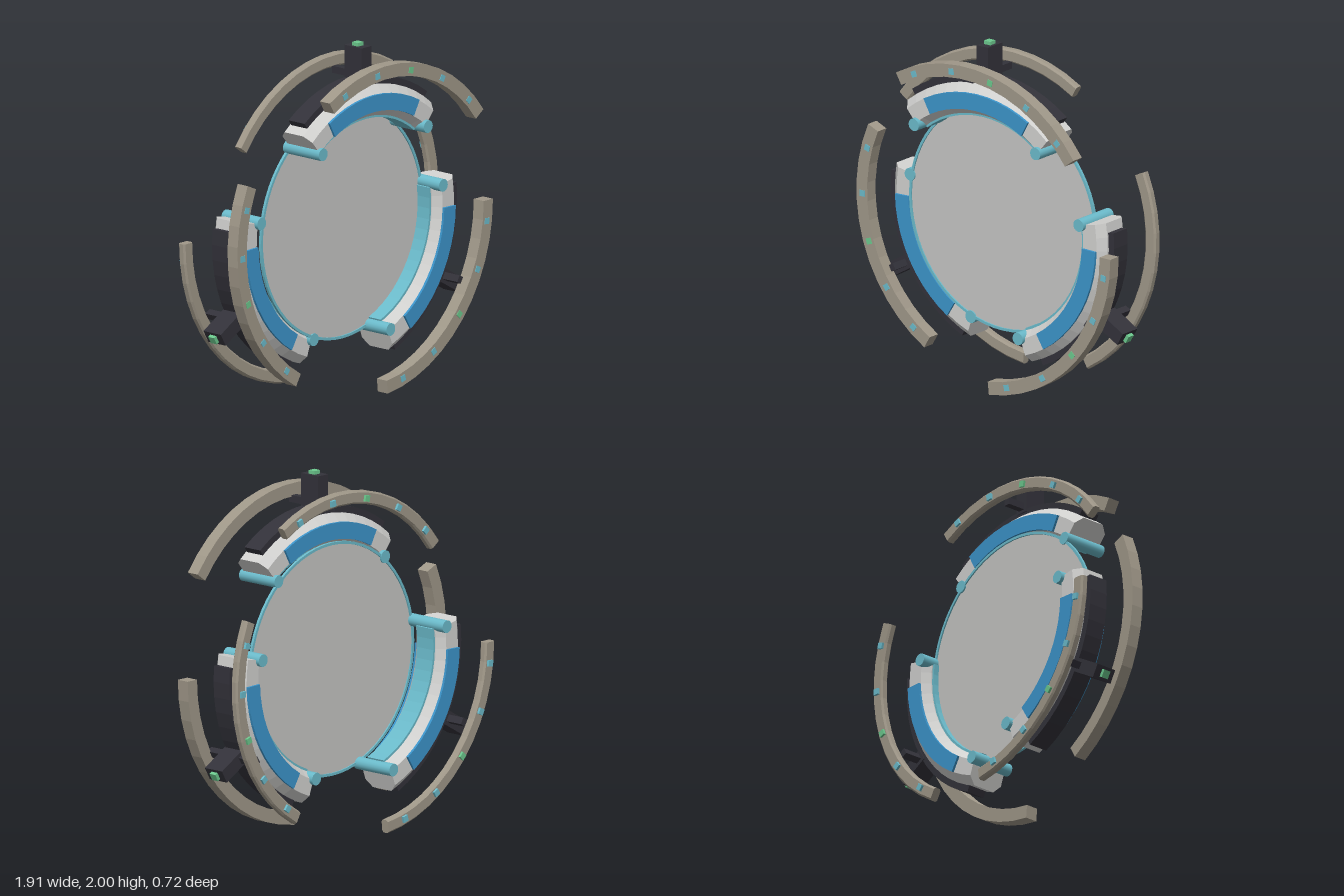
import * as THREE from 'three';

const mat = (name, color) => new THREE.MeshStandardMaterial({ name, color });
const rad = THREE.MathUtils.degToRad;

// Sweeps a convex (radius, z) profile around the z axis from angle a0 to a1, with flat faces.
function sweep(profile, a0, a1, segs, capped = true) {
  const pos = [];
  const n = profile.length;
  const at = (i, k) => {
    const a = rad(a0 + ((a1 - a0) * k) / segs);
    const [r, z] = profile[i % n];
    return [r * Math.cos(a), r * Math.sin(a), z];
  };
  for (let k = 0; k < segs; k++) {
    for (let i = 0; i < n; i++) {
      const a = at(i, k), b = at(i + 1, k), c = at(i + 1, k + 1), d = at(i, k + 1);
      pos.push(...a, ...b, ...c, ...a, ...c, ...d);
    }
  }
  if (capped) {
    for (let i = 1; i < n - 1; i++) {
      pos.push(...at(0, 0), ...at(i + 1, 0), ...at(i, 0));
      pos.push(...at(0, segs), ...at(i, segs), ...at(i + 1, segs));
    }
  }
  const g = new THREE.BufferGeometry();
  g.setAttribute('position', new THREE.Float32BufferAttribute(pos, 3));
  g.computeVertexNormals();
  return g;
}

const rect = (r0, r1, z0, z1) => [[r0, z0], [r0, z1], [r1, z1], [r1, z0]];

// Rectangle with its four corners cut by c
const bevelRect = (r0, r1, z0, z1, c) => [
  [r0, z0 + c], [r0, z1 - c], [r0 + c, z1], [r1 - c, z1],
  [r1, z1 - c], [r1, z0 + c], [r1 - c, z0], [r0 + c, z0],
];

export function createModel() {
  const m = {
    shell: mat('pale grey shell', 0xd2d2d0),
    rail: mat('warm grey rail', 0xa09889),
    blue: mat('blue panel', 0x3c95cb),
    dark: mat('dark grey', 0x33323a),
    teal: mat('teal', 0x6cbccc),
    green: mat('green light', 0x6cc98e),
    disc: mat('grey disc', 0xc6c6c4),
  };
  m.disc.side = THREE.DoubleSide;

  const root = new THREE.Group();
  root.name = 'ringGate';
  const add = (parent, name, geo, material, x = 0, y = 0, z = 0) => {
    const mesh = new THREE.Mesh(geo, material);
    mesh.name = name;
    mesh.position.set(x, y, z);
    parent.add(mesh);
    return mesh;
  };

  const ring = new THREE.Group();
  ring.name = 'ring';
  ring.position.y = 0.95;
  root.add(ring);

  // Central disc and its thin rim
  add(ring, 'centralDisc', new THREE.CircleGeometry(0.65, 64), m.disc);
  add(ring, 'discRim', sweep(rect(0.645, 0.66, -0.008, 0.008), 0, 360, 64, false), m.teal);

  // Outer rail with a row of small lights; side is +1 for the front, -1 for the back
  function addRail(parent, side) {
    const a0 = side > 0 ? 36 : 60;
    const label = side > 0 ? 'front' : 'rear';
    const profile = side > 0
      ? rect(0.88, 0.955, 0.155, 0.23)
      : bevelRect(0.88, 0.955, -0.218, -0.17, 0.01);
    add(parent, label + 'Rail', sweep(profile, a0, a0 + 84, 12), m.rail);
    for (let i = 0; i < 5; i++) {
      const deg = 90 - side * (45.8 - 17.1 * i);
      const a = rad(deg);
      const light = add(parent, label + 'Light', new THREE.BoxGeometry(0.035, 0.035, 0.03),
        i === 2 ? m.green : m.teal,
        0.913 * Math.cos(a), 0.913 * Math.sin(a), side > 0 ? 0.218 : -0.217);
      light.rotation.z = a;
    }
  }

  // One clamp, built at the top of the ring
  function makeClamp(name, turn, z) {
    const g = new THREE.Group();
    g.name = name;
    g.rotation.z = rad(turn);
    g.position.z = z;

    // Chamfered body and inner liner
    const body = [
      [0.635, -0.068], [0.635, 0.068], [0.672, 0.113], [0.765, 0.113],
      [0.81, 0.07], [0.81, -0.07], [0.765, -0.113], [0.672, -0.113],
    ];
    add(g, 'body', sweep(body, 50, 130, 14), m.shell);
    add(g, 'innerLiner', sweep(rect(0.622, 0.64, -0.062, 0.062), 51, 129, 14), m.teal);

    // Blue side panels
    for (const s of [-1, 1]) {
      const [z0, z1] = s > 0 ? [0.108, 0.127] : [-0.127, -0.108];
      add(g, 'sidePanel', sweep(rect(0.672, 0.766, z0, z1), 61.5, 118.5, 10), m.blue);
    }

    // Hinge pins at both ends
    for (const deg of [50, 130]) {
      const pin = add(g, 'hingePin', new THREE.CylinderGeometry(0.036, 0.036, 0.27, 16), m.teal,
        0.665 * Math.cos(rad(deg)), 0.665 * Math.sin(rad(deg)), 0);
      pin.rotation.x = Math.PI / 2;
    }

    // Dark backing strip, post, crossbar and tip light
    add(g, 'backingStrip', sweep(rect(0.8, 0.848, -0.06, 0.06), 54, 126, 12), m.dark);
    add(g, 'post', new THREE.BoxGeometry(0.08, 0.2, 0.13), m.dark, 0, 0.93, 0);
    add(g, 'crossbar', new THREE.BoxGeometry(0.04, 0.04, 0.35), m.dark, 0, 0.867, 0);
    add(g, 'tipLight', new THREE.BoxGeometry(0.045, 0.03, 0.045), m.green, 0, 1.035, 0);

    addRail(g, 1);
    addRail(g, -1);
    ring.add(g);
  }

  // Three clamps staggered in depth
  makeClamp('topClamp', 0, 0.125);
  makeClamp('leftClamp', -120, 0.028);
  makeClamp('rightClamp', 120, -0.127);

  return root;
}
